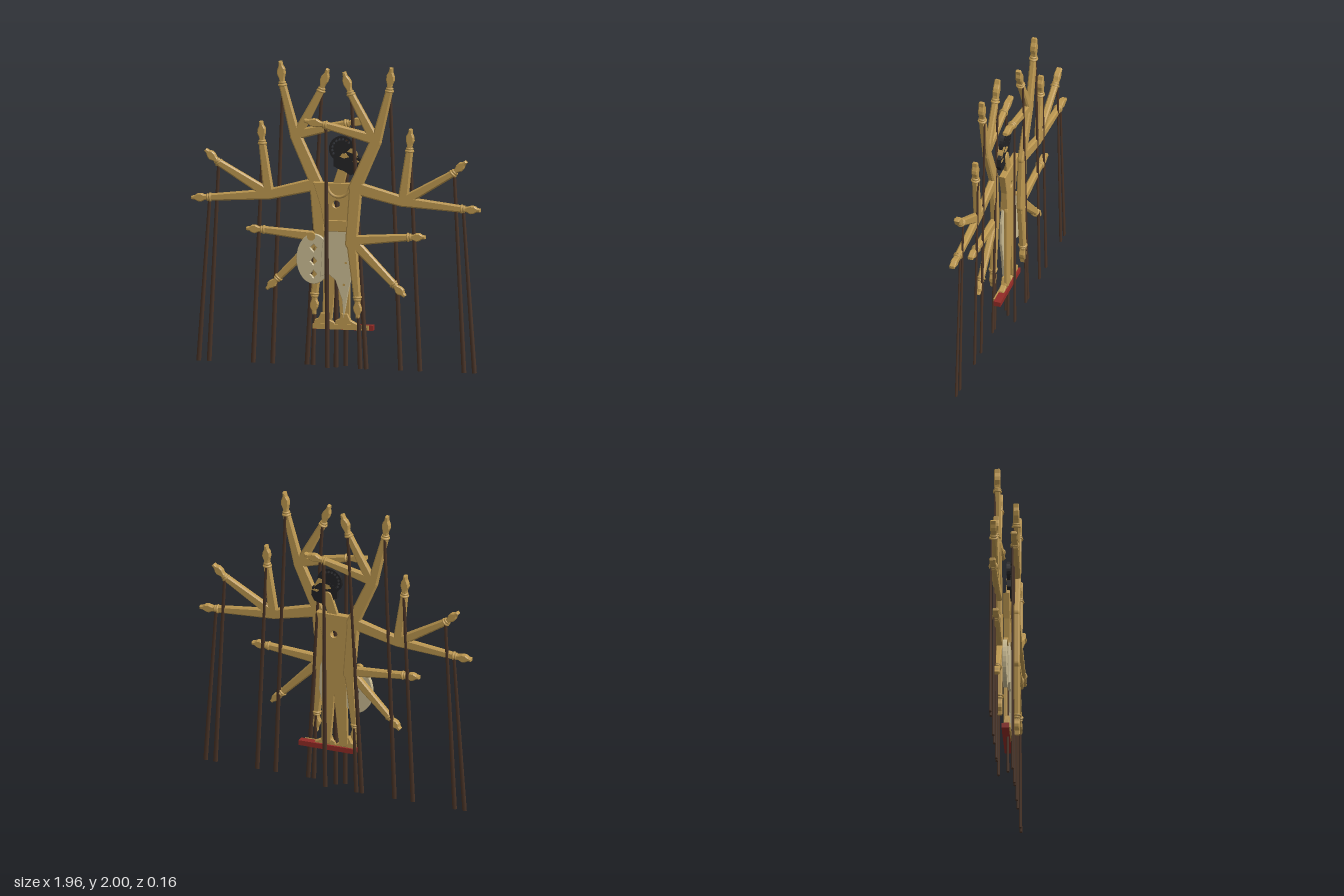
import * as THREE from 'three';

const paint = (name, color) => Object.assign(new THREE.MeshStandardMaterial({ color }), { name });

export function createModel() {
  const gold = paint('gold', 0xbd9850);
  const cream = paint('cream cloth', 0xcabb92);
  const brown = paint('dark wood', 0x4a3427);
  const black = paint('black', 0x232325);
  const red = paint('red', 0x932b26);

  const model = new THREE.Group();
  model.name = 'rodPuppet';

  const add = (parent, name, geometry, material) => {
    const mesh = new THREE.Mesh(geometry, material);
    mesh.name = name;
    parent.add(mesh);
    return mesh;
  };
  const toShape = (pts) => new THREE.Shape(pts.map(([x, y]) => new THREE.Vector2(x, y)));

  // flat cut-out between two depths, with an optional chamfer that stays inside z0..z1
  const plate = (parent, name, shape, z0, z1, material, bevel = 0) => {
    const geometry = new THREE.ExtrudeGeometry(shape, {
      depth: z1 - z0 - 2 * bevel, curveSegments: 14,
      bevelEnabled: bevel > 0, bevelThickness: bevel, bevelSize: bevel, bevelOffset: -bevel, bevelSegments: 1,
    });
    geometry.translate(0, 0, z0 + bevel);
    return add(parent, name, geometry, material);
  };
  const hole = (x, y, r) => new THREE.Path().absarc(x, y, r, 0, Math.PI * 2, true);

  // tapered bar with rounded ends
  const bar = (parent, name, a, b, wa, wb, z0, z1, bevel = 0.009) => {
    const t = Math.atan2(b[1] - a[1], b[0] - a[0]);
    const s = new THREE.Shape();
    s.absarc(a[0], a[1], wa / 2, t + Math.PI / 2, t + Math.PI * 1.5, false);
    s.absarc(b[0], b[1], wb / 2, t - Math.PI / 2, t + Math.PI / 2, false);
    return plate(parent, name, s, z0, z1, gold, bevel);
  };

  // flattened control rod
  const rod = (parent, top, bottom, z) => {
    const dx = top[0] - bottom[0], dy = top[1] - bottom[1];
    const geometry = new THREE.CylinderGeometry(0.011, 0.016, Math.hypot(dx, dy), 8);
    geometry.scale(1, 1, 0.55);
    const mesh = add(parent, 'controlRod', geometry, brown);
    mesh.rotation.z = Math.atan2(-dx, dy);
    mesh.position.set((top[0] + bottom[0]) / 2, (top[1] + bottom[1]) / 2, z);
  };

  // leaf-shaped hand with two bracelets at the wrist
  const hand = (parent, wrist, tip, zc, s) => {
    const g = new THREE.Group();
    g.name = 'hand';
    const L = Math.hypot(tip[0] - wrist[0], tip[1] - wrist[1]);
    g.position.set(wrist[0], wrist[1], zc);
    g.rotation.z = Math.atan2(tip[1] - wrist[1], tip[0] - wrist[0]) - Math.PI / 2;
    parent.add(g);
    const pts = [[-0.013, 0], [0.013, 0], [0.017, 0.25], [0.028, 0.45], [0.025, 0.62], [0.013, 0.8],
      [0.011, 1], [-0.009, 1], [-0.013, 0.82], [-0.025, 0.66], [-0.026, 0.45], [-0.017, 0.25]];
    const outline = pts.map(([x, y]) => [x * s, y * L]);
    if (s < 0) outline.reverse();
    plate(g, 'palmAndFingers', toShape(outline), -0.02, 0.02, gold, 0.006);
    for (const [y, r] of [[-0.006, 0.023], [0.01, 0.018]]) {
      const ring = add(g, 'bracelet', new THREE.TorusGeometry(r, 0.008, 8, 16), gold);
      ring.rotation.x = Math.PI / 2;
      ring.position.y = y;
    }
  };

  // start, wrist, fingertip, rod foot
  const forearms = [
    [[0.28, 1.5], [0.37, 1.85], [0.383, 2.0], 0.44],
    [[0.28, 1.5], [0.11, 1.82], [0.065, 1.96], 0.21],
    [[0.28, 1.52], [-0.06, 1.605], [-0.2, 1.63], -0.05],
    [[0.46, 1.12], [0.86, 1.085], [0.98, 1.08], 0.935],
    [[0.46, 1.12], [0.8, 1.32], [0.885, 1.4], 0.865],
    [[0.46, 1.12], [0.505, 1.46], [0.512, 1.6], 0.57],
    [[0.12, 0.85], [0.5, 0.885], [0.612, 0.89], null],
    [[0.12, 0.85], [0.4, 0.57], [0.475, 0.495], null],
    [[0.12, 0.82], [0.155, 0.47], [0.158, 0.34], 0.17],
  ];
  // shared upper arms
  const upperArms = [
    [[0.14, 1.2], [0.28, 1.51], 0.085, 0.075],
    [[0.14, 1.2], [0.46, 1.12], 0.085, 0.07],
    [[0.145, 1.2], [0.115, 0.83], 0.085, 0.08],
  ];

  // one fan of arms in front on the left, one behind on the right
  for (const [s, zc, name] of [[1, 0.052, 'leftArmFan'], [-1, -0.045, 'rightArmFan']]) {
    const fan = new THREE.Group();
    fan.name = name;
    model.add(fan);
    const m = ([x, y]) => [s * x, y];
    for (const [a, b, wa, wb] of upperArms) bar(fan, 'upperArm', m(a), m(b), wa, wb, zc - 0.02, zc + 0.02);
    for (const [a, wrist, tip, foot] of forearms) {
      bar(fan, 'forearm', m(a), m(wrist), 0.068, 0.045, zc - 0.02, zc + 0.02);
      hand(fan, m(wrist), m(tip), zc, s);
      if (foot !== null) rod(fan, m(wrist), [s * foot, 0.003], zc - 0.016);
    }
  }

  // torso with a round hole
  const torso = toShape([[-0.15, 1.22], [-0.1, 1.06], [-0.07, 0.9], [0.08, 0.9], [0.09, 1.06], [0.13, 1.22]]);
  torso.holes.push(hole(0.005, 1.08, 0.023));
  plate(model, 'torso', torso, -0.022, 0.022, gold, 0.004);
  const collar = add(model, 'collar', new THREE.TorusGeometry(0.072, 0.011, 6, 16, Math.PI), gold);
  collar.rotation.z = Math.PI;
  collar.position.set(0.022, 1.2, 0.02);
  bar(model, 'neck', [0.015, 1.2], [0.055, 1.34], 0.075, 0.06, -0.012, 0.014, 0.004);
  plate(model, 'belt', toShape([[-0.073, 0.9], [0.083, 0.9], [0.075, 0.975], [-0.068, 0.975]]), -0.015, 0.03, gold, 0.004);

  // pierced hair
  const hair = new THREE.Shape().absarc(0.043, 1.445, 0.086, 0, Math.PI * 2, false);
  for (let i = 0; i < 9; i++) {
    const t = 0.75 + i * 0.36;
    hair.holes.push(hole(0.043 + 0.065 * Math.cos(t), 1.445 + 0.065 * Math.sin(t), 0.009));
  }
  plate(model, 'hair', hair, -0.003, 0.022, black);
  // face and beard in profile
  plate(model, 'faceAndBeard', toShape([[-0.01, 1.4], [-0.012, 1.33], [0.03, 1.31], [0.06, 1.3], [0.1, 1.275],
    [0.15, 1.29], [0.172, 1.33], [0.165, 1.385], [0.13, 1.42], [0.05, 1.44]]), -0.004, 0.024, black);
  const features = [
    [[0.08, 1.43], [0.115, 1.42], [0.15, 1.39], [0.14, 1.42], [0.12, 1.455], [0.1, 1.45]],
    [[0.03, 1.395], [0.06, 1.385], [0.095, 1.395], [0.07, 1.42], [0.045, 1.415]],
    [[0.115, 1.37], [0.13, 1.355], [0.165, 1.365], [0.15, 1.375]],
  ];
  for (const f of features) plate(model, 'faceFeature', toShape(f), -0.007, 0.027, gold);

  // legs and feet
  bar(model, 'rightLeg', [-0.025, 0.9], [-0.06, 0.32], 0.11, 0.065, -0.022, 0.002, 0.004);
  bar(model, 'leftLeg', [0.035, 0.9], [0.06, 0.32], 0.11, 0.065, -0.022, 0.002, 0.004);
  for (const x of [-0.08, 0.06]) {
    plate(model, 'foot', toShape([[x - 0.07, 0.27], [x + 0.09, 0.27], [x + 0.08, 0.295], [x + 0.04, 0.315],
      [x + 0.02, 0.36], [x - 0.02, 0.36], [x - 0.035, 0.325], [x - 0.06, 0.315]]), -0.018, 0.02, gold, 0.004);
  }

  // hanging cloth front
  const skirt = toShape([[-0.065, 0.92], [0.08, 0.92], [0.115, 0.82], [0.12, 0.66], [0.085, 0.5], [0.055, 0.33],
    [0.045, 0.45], [0.0, 0.58], [-0.05, 0.62], [-0.1, 0.6], [-0.09, 0.8]]);
  skirt.holes.push(hole(0.07, 0.695, 0.011), hole(0.057, 0.55, 0.011));
  plate(model, 'skirt', skirt, 0.003, 0.022, cream, 0.003);
  // rounded hip cloth with diamond cut-outs
  const hip = new THREE.Shape().absellipse(-0.15, 0.712, 0.115, 0.165, 0, Math.PI * 2, false, 0);
  for (const y of [0.785, 0.698, 0.612]) {
    hip.holes.push(new THREE.Path([[0, 0.027], [0.023, 0], [0, -0.027], [-0.023, 0]]
      .map(([dx, dy]) => new THREE.Vector2(-0.15 + dx, y + dy))));
  }
  plate(model, 'hipCloth', hip, -0.02, 0.008, cream, 0.003);
  const knot = add(model, 'clothKnot', new THREE.CylinderGeometry(0.028, 0.028, 0.03, 12), gold);
  knot.rotation.x = Math.PI / 2;
  knot.position.set(-0.165, 0.86, 0);

  // foot rail with a gold face and its central rod
  const rail = add(model, 'footRail', new THREE.BoxGeometry(0.4, 0.034, 0.048), red);
  rail.position.set(0.05, 0.27, -0.007);
  const face = add(model, 'railFace', new THREE.BoxGeometry(0.375, 0.034, 0.009), gold);
  face.position.set(0.037, 0.272, 0.0215);
  rod(model, [0.005, 1.1], [0, 0.003], 0.003);

  return model;
}
